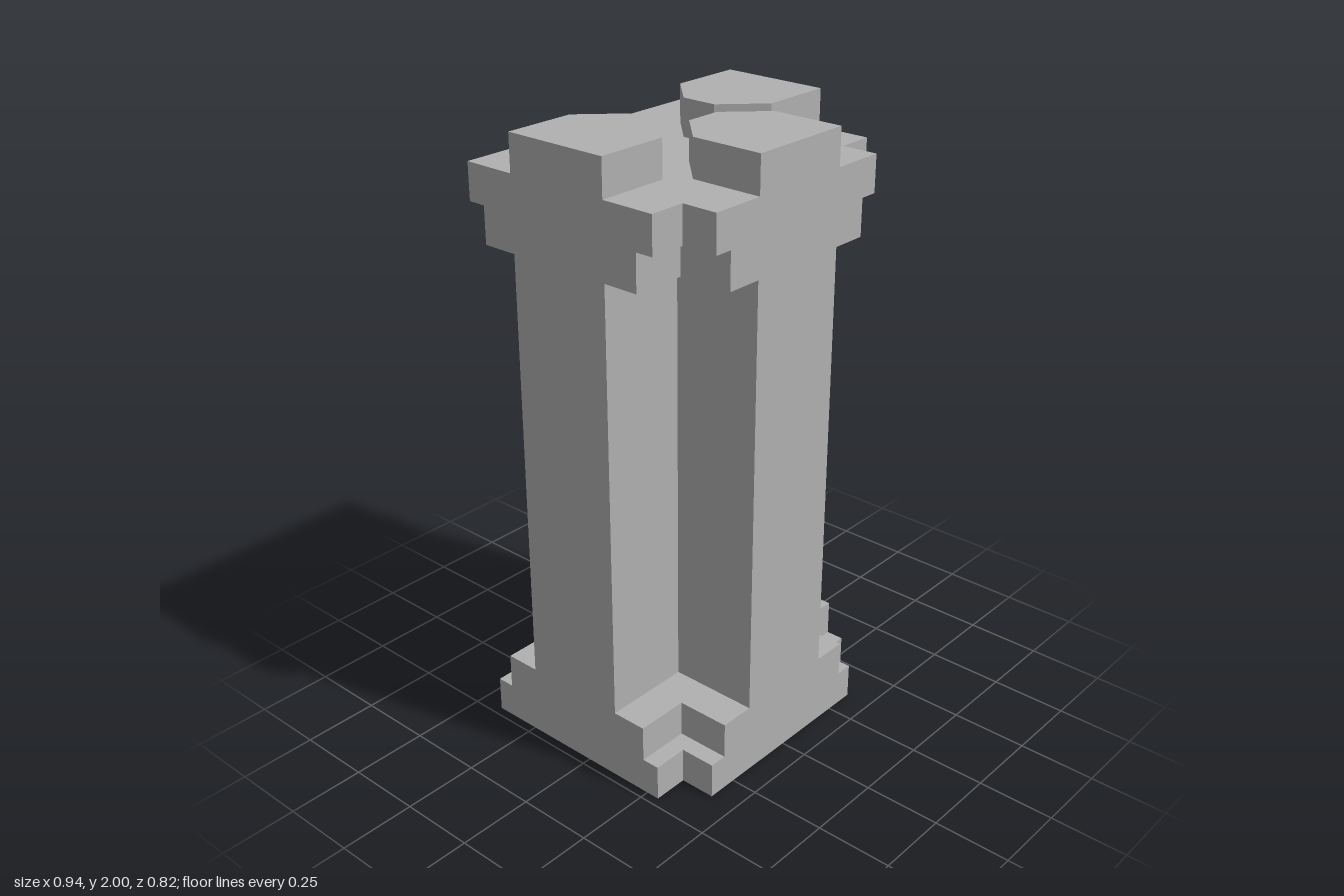
import * as THREE from 'three';

const U = 2 / 34; // one grid unit of the design

export function createModel() {
  const group = new THREE.Group();
  const stone = new THREE.MeshStandardMaterial({ color: 0xb0b0b0 });
  stone.name = 'stone grey';

  const toShape = (points) => new THREE.Shape(points.map(([a, b]) => new THREE.Vector2(a * U, b * U)));
  const add = (name, geometry) => {
    const mesh = new THREE.Mesh(geometry, stone);
    mesh.name = name;
    group.add(mesh);
  };

  // Extrude a floor plan given as [x, z] from height y0 to y1
  const layer = (name, plan, y0, y1) => {
    const geometry = new THREE.ExtrudeGeometry(toShape(plan.map(([x, z]) => [x, -z])), {
      depth: (y1 - y0) * U, bevelEnabled: false,
    });
    geometry.rotateX(-Math.PI / 2).translate(0, y0 * U, 0);
    add(name, geometry);
  };

  // T-shaped plan: wide rear block and a narrower front block
  const tee = (back, shoulder, halfFront) => [
    [-8, back], [8, back], [8, shoulder], [halfFront, shoulder],
    [halfFront, 7], [-halfFront, 7], [-halfFront, shoulder], [-8, shoulder],
  ];

  // Stepped foot, shaft and stepped head
  layer('baseSlab', tee(-7, 5, 6), 0, 2);
  layer('baseStep', tee(-6, 4, 5), 2, 4);
  layer('shaft', tee(-4, 2, 3), 4, 28);
  layer('headStep', tee(-6, 4, 5), 28, 30);
  layer('headSlab', tee(-7, 5, 6), 30, 32);

  // Chamfered pads on top
  for (const [name, s] of [['leftPad', 1], ['rightPad', -1]]) {
    layer(name, [[8, -4], [4, -4], [2, -2], [2, 0], [4, 2], [8, 2]].map(([x, z]) => [x * s, z]), 32, 34);
  }
  layer('frontPad', [[-3, 7], [-3, 3], [-1, 1], [1, 1], [3, 3], [3, 7]], 32, 34);

  // Back rib, flared at both ends
  const rib = new THREE.ExtrudeGeometry(
    toShape([[-4, 4], [4, 4], [1, 7], [1, 25], [4, 28], [-4, 28], [-1, 25], [-1, 7]]),
    { depth: 2 * U, bevelEnabled: false },
  );
  add('backRib', rib.translate(0, 0, -6 * U));

  return group;
}
